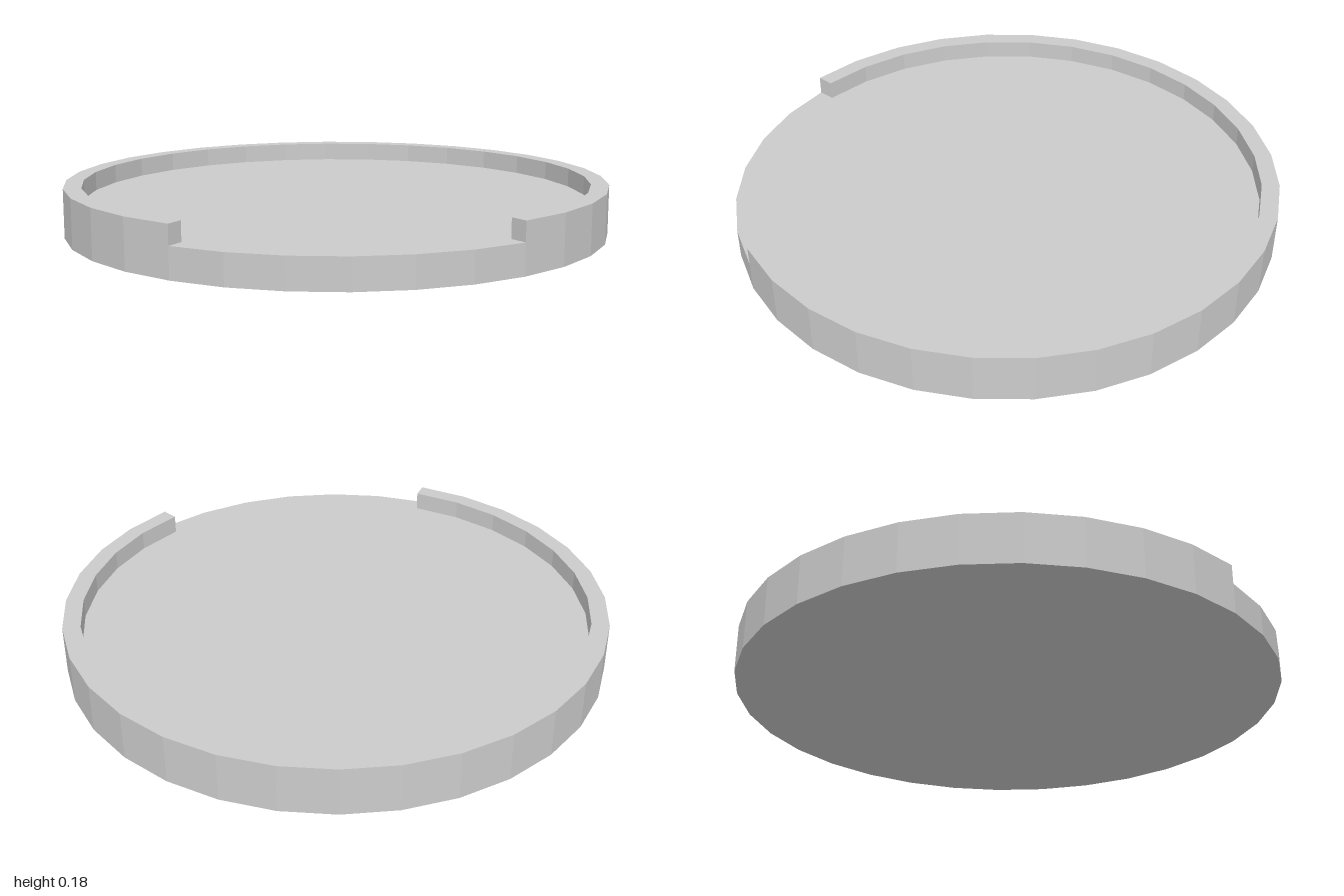
import * as THREE from 'three';

const SIDES = 32;
const OUTER = 1, INNER = 0.935;
const FLOOR = 0.11, TOP = 0.18;
const GAP = 3; // facets left open on each side of the front

export function createModel() {
  const group = new THREE.Group();
  group.name = 'tray';
  const material = new THREE.MeshStandardMaterial({ color: 0xcccccc, flatShading: true });

  // Solid round base
  const baseGeometry = new THREE.CylinderGeometry(OUTER, OUTER, FLOOR, SIDES);
  baseGeometry.translate(0, FLOOR / 2, 0);
  const base = new THREE.Mesh(baseGeometry, material);
  base.name = 'base';
  group.add(base);

  // Raised rim, open at the front: out along the outer edge, back along the inner
  const point = (radius, i) => {
    const a = (i / SIDES) * Math.PI * 2;
    return new THREE.Vector2(radius * Math.sin(a), -radius * Math.cos(a));
  };
  const outline = [];
  for (let i = GAP; i <= SIDES - GAP; i++) outline.push(point(OUTER, i));
  for (let i = SIDES - GAP; i >= GAP; i--) outline.push(point(INNER, i));

  const rimGeometry = new THREE.ExtrudeGeometry(new THREE.Shape(outline), {
    depth: TOP - FLOOR,
    bevelEnabled: false,
  });
  rimGeometry.rotateX(-Math.PI / 2);
  rimGeometry.translate(0, FLOOR, 0);
  const rim = new THREE.Mesh(rimGeometry, material);
  rim.name = 'rim';
  group.add(rim);

  return group;
}
